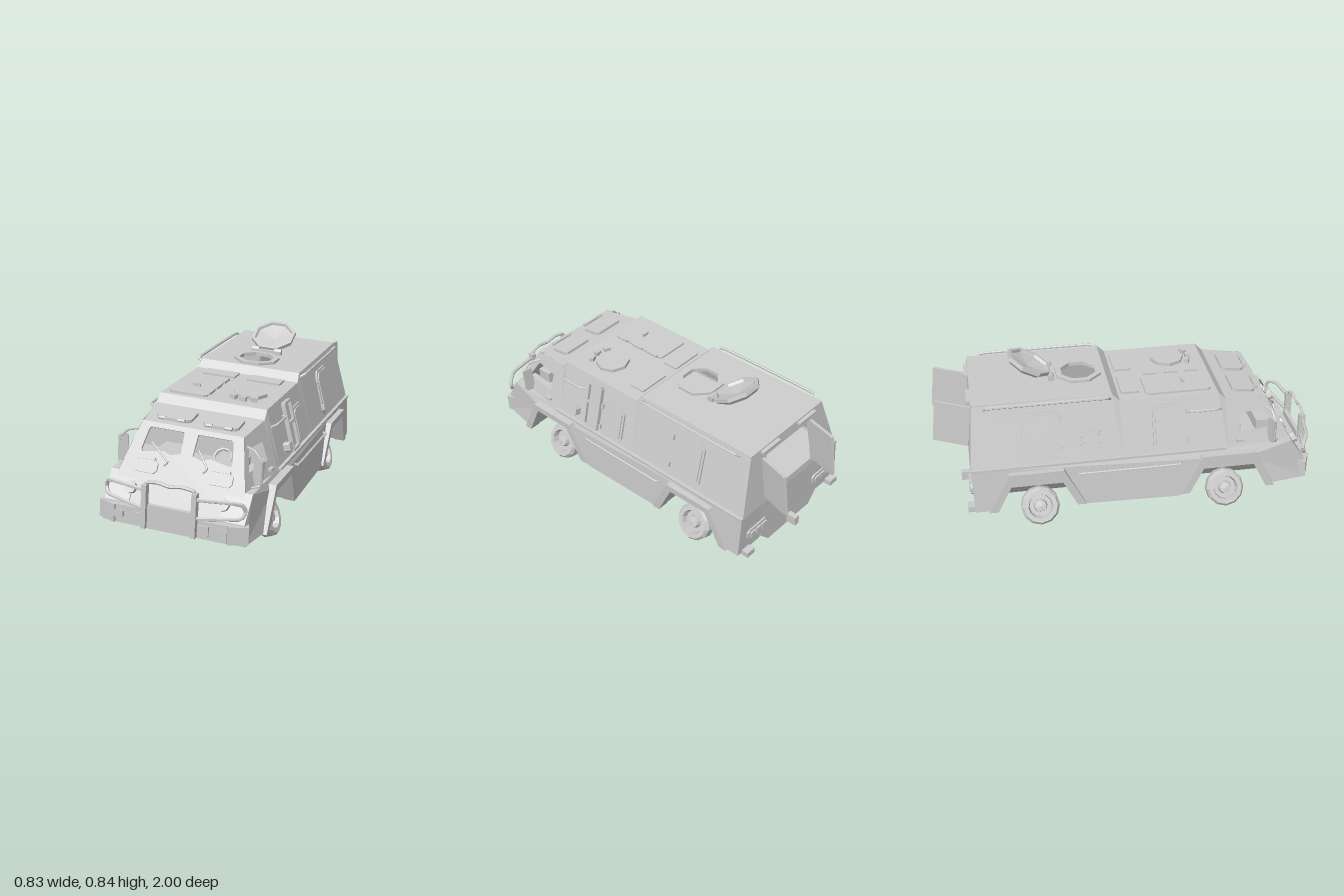
import * as THREE from 'three';

const mat = new THREE.MeshStandardMaterial({ color: 0xcccccc, flatShading: true, side: THREE.DoubleSide });
const BELT = 0.355;
const wallX = (y) => 0.372 - 0.296 * (y - BELT);
const poly = (pts) => new THREE.Shape(pts.map((p) => new THREE.Vector2(...p)));
const mirrorX = (pts) => [...pts, ...pts.map(([x, y]) => [-x, y]).reverse()];
const ngon = (n, r, x = 0, y = 0) => Array.from({ length: n }, (_, i) => {
  const a = ((i + 0.5) / n) * Math.PI * 2;
  return [x + r * Math.cos(a), y + r * Math.sin(a)];
});

export function createModel() {
  const root = new THREE.Group();
  root.name = 'armouredVan';
  const van = new THREE.Group();
  van.name = 'vehicle';
  root.add(van);

  function add(name, geo, pos = [0, 0, 0], rot = [0, 0, 0], parent = van) {
    const m = new THREE.Mesh(geo, mat);
    m.name = name;
    m.position.set(...pos);
    m.rotation.set(...rot, 'ZYX');
    parent.add(m);
    return m;
  }
  const box = (name, size, pos, rot, parent) => add(name, new THREE.BoxGeometry(...size), pos, rot, parent);
  const cyl = (name, r, h, n, pos, rot, parent) => add(name, new THREE.CylinderGeometry(r, r, h, n), pos, rot, parent);
  function slab(pts, depth, holes = []) {
    const s = poly(pts);
    s.holes = holes.map((h) => poly(h));
    return new THREE.ExtrudeGeometry(s, { depth, bevelEnabled: false });
  }
  // plate with cut corners, rising along its own +z
  function plate(name, w, h, t, pos, rot, parent, c = 0.015) {
    const a = w / 2, b = h / 2;
    return add(name, slab(mirrorX([[a - c, -b], [a, c - b], [a, b - c], [a - c, b]]), t), pos, rot, parent);
  }
  function tube(name, pts, r = 0.008, parent = van) {
    const curve = new THREE.CatmullRomCurve3(pts.map((p) => new THREE.Vector3(...p)), false, 'catmullrom', 0.15);
    return add(name, new THREE.TubeGeometry(curve, pts.length * 5, r, 6), [0, 0, 0], [0, 0, 0], parent);
  }
  // skin stretched over rows of points
  function loft(name, rows) {
    const p = [];
    for (let i = 0; i + 1 < rows.length; i++) for (let j = 0; j + 1 < rows[i].length; j++) {
      const a = rows[i][j], b = rows[i][j + 1], c = rows[i + 1][j], d = rows[i + 1][j + 1];
      p.push(...a, ...b, ...c, ...b, ...d, ...c);
    }
    const g = new THREE.BufferGeometry();
    g.setAttribute('position', new THREE.Float32BufferAttribute(p, 3));
    g.computeVertexNormals();
    return add(name, g);
  }

  // Upper shell: z, roof height, roof half width, z at the belt line
  const sections = [[0.72, 0.575, 0.256, 0.72], [0.5, 0.6, 0.285, 0.5], [0.46, 0.64, 0.282, 0.46], [-0.05, 0.64, 0.282, -0.05], [-0.09, 0.68, 0.275, -0.09], [-0.8, 0.675, 0.275, -0.83]];
  loft('frontRoof', sections.slice(0, 5).map(([z, y, w]) => [[w, y, z], [-w, y, z]]));
  add('rearRoof', slab(mirrorX([[0.275, 0.09], [0.275, 0.8]]), 0.006, [ngon(8, 0.095, -0.01, 0.23)]), [0, 0.673, 0], [-Math.PI / 2, 0, 0]);
  add('rearPanel', slab(mirrorX([[0.37, 0], [0.275, 0.322]]), 0.015, [mirrorX([[0.185, 0.035], [0.165, 0.27]])]), [0, BELT, -0.83], [0.093, 0, 0]);
  add('bellyHull', slab(mirrorX([[0.165, 0.07], [0.24, 0.15], [0.24, BELT]]), 1.605), [0, 0, -0.825]);
  const across = (pts, z) => mirrorX(pts).map(([x, y]) => [x, y, z]);
  loft('nosePan', [across([[0.34, 0.2], [0.22, 0.14]], 0.93), across([[0.34, 0.15], [0.165, 0.07]], 0.78)]);
  add('bulkhead', slab(mirrorX([[0.37, BELT], [0.283, 0.625]]), 0.01), [0, 0, 0.46]);

  for (const s of [-1, 1]) {
    loft('sideWall', sections.slice(1).map(([z, y, w, zb]) => (s > 0 ? [[0.37, BELT, zb], [w, y, z]] : [[-w, y, z], [-0.37, BELT, zb]])));

    // Cab side with window, narrowing to the nose
    const outline = poly([[0.5, BELT], [0.843, BELT], [0.72, 0.575], [0.5, 0.6]]);
    outline.holes = [poly([[0.57, 0.425], [0.57, 0.515], [0.705, 0.52], [0.765, 0.425]])];
    const cab = new THREE.ShapeGeometry(outline);
    const q = cab.attributes.position;
    for (let i = 0; i < q.count; i++) {
      const z = q.getX(i), y = q.getY(i);
      q.setXYZ(i, s * (0.37 - (z - 0.5) * 0.14 - 0.36 * (y - BELT)), y, z);
    }
    cab.computeVertexNormals();
    add('cabSide', cab);

    // Lower body side with wheel arches, drawn along -z, then turned and flared
    const arch = (c) => [[c + 0.205, 0.125], [c + 0.115, 0.3], [c - 0.115, 0.3], [c - 0.205, 0.125]];
    const lower = slab([[0.93, 0.125], ...arch(0.5), [0.24, 0.105], [-0.24, 0.115], ...arch(-0.5), [-0.82, 0.125], [-0.83, BELT], [0.843, BELT], [0.925, 0.23]]
      .map(([z, y]) => [-z, y]), 0.155);
    lower.rotateY(Math.PI / 2).translate(s > 0 ? 0.23 : -0.385, 0, 0);
    const lp = lower.attributes.position;
    for (let i = 0; i < lp.count; i++) {
      if (Math.abs(lp.getX(i)) > 0.3) lp.setX(i, s * (0.378 + (BELT - lp.getY(i)) * 0.09 - Math.max(0, lp.getZ(i) - 0.75) * 0.2));
    }
    lower.computeVertexNormals();
    add('lowerSide', lower);
    for (const c of [0.5, -0.5]) {
      const flare = slab([[0.25, 0.12], [0.14, 0.335], [-0.14, 0.335], [-0.25, 0.12], [-0.205, 0.12], [-0.115, 0.3], [0.115, 0.3], [0.205, 0.12]], 0.06);
      flare.rotateY(Math.PI / 2).translate(s > 0 ? 0.35 : -0.41, 0, c);
      add('archFlare', flare);
    }
    box('beltTrim', [0.02, 0.012, 1.32], [s * 0.374, BELT + 0.003, -0.17]);
    tube('sidePipe', [[0.375, 0.3, 0.25], [0.4, 0.3, 0.24], [0.4, 0.3, -0.28], [0.375, 0.3, -0.29]].map(([x, y, z]) => [s * x, y, z]), 0.007);

    // Fittings lying on the sloped side wall
    const onSide = (name, z, y, w, h, t = 0.014) => plate(name, w, h, t, [s * (wallX(y) - 0.002), y, z], [0, s * Math.PI / 2, s * 0.288], van, Math.min(w, h) * 0.14);
    const hatch = (z, y, w, h) => {
      onSide('sideHatch', z, y, w, h, 0.01);
      onSide('sideHatchPanel', z, y, w - 0.025, h - 0.025, 0.016);
      for (const k of [-1, 1]) onSide('hatchHinge', z + w / 2, y + k * h * 0.3, 0.012, 0.03, 0.022);
    };
    hatch(s > 0 ? -0.44 : -0.46, 0.5, 0.2, 0.25);
    if (s > 0) {
      hatch(0.075, 0.468, 0.15, 0.19);
      for (const z of [0.175, 0.265]) onSide('frameUpright', z, 0.495, 0.012, 0.24, 0.022);
      for (const y of [0.38, 0.51, 0.612]) onSide('frameBar', 0.22, y, 0.09, 0.014, 0.022);
      onSide('framePane', 0.22, 0.495, 0.08, 0.23, 0.006);
      onSide('sideLamp', 0.34, 0.42, 0.045, 0.045, 0.035);
    } else {
      hatch(0.2, 0.49, 0.18, 0.24);
      hatch(-0.21, 0.46, 0.1, 0.1);
    }
    // Rails and door handle
    const rail = (name, z0, z1, x, y, out, rise, r) =>
      tube(name, [[x, y, z0], [x + out, y + rise, z0 - 0.03], [x + out, y + rise, z1 + 0.03], [x, y, z1]].map((p) => [s * p[0], p[1], p[2]]), r);
    rail('roofRail', -0.1, -0.74, 0.278, 0.655, 0.027, 0.02, 0.008);
    rail('grabRail', 0.47, 0.29, wallX(0.56), 0.56, 0.025, 0.01, 0.007);
    box('doorHandle', [0.02, 0.012, 0.04], [s * 0.355, 0.385, 0.57]);

    // Wing mirror on a tube frame
    tube('mirrorArm', [[0.275, 0.53, 0.71], [0.325, 0.525, 0.74], [0.362, 0.48, 0.75], [0.365, 0.365, 0.75], [0.32, 0.355, 0.78]].map(([x, y, z]) => [s * x, y, z]), 0.007);
    plate('mirror', 0.05, 0.145, 0.02, [s * 0.35, 0.425, 0.73], [0, -s * 0.35, -s * 0.05], van, 0.01);

    // Wheels lean in at the top
    const wy = s > 0 ? 0.1 : 0.085;
    for (const z of [0.5, -0.485]) {
      const profile = [[0, -0.04], [0.078, -0.04], [0.101, -0.022], [0.101, 0.022], [0.088, 0.04], [0.065, 0.04], [0.058, 0.01], [0.036, 0.01], [0.03, 0.034], [0, 0.038]];
      add('wheel', new THREE.LatheGeometry(profile.map((p) => new THREE.Vector2(...p)), 12), [s * 0.328, wy, z], [0, 0, s * (-Math.PI / 2 + 0.38)]);
      cyl('hub', 0.035, 0.05, 6, [s * 0.275, wy, z], [0, 0, Math.PI / 2]);
      box('knuckle', [0.035, 0.075, 0.06], [s * 0.258, wy - 0.005, z]);
    }

    // Bull bar side loop, post, and bumper corner
    tube('bullBarLoop', [[0.12, 0.335, 0.98], [0.29, 0.34, 0.95], [0.34, 0.325, 0.92], [0.352, 0.29, 0.91], [0.33, 0.258, 0.93], [0.12, 0.24, 0.98]].map(([x, y, z]) => [s * x, y, z]), 0.01);
    box('bullBarPost', [0.024, 0.22, 0.035], [s * 0.125, 0.255, 0.975]);
    box('bumperCorner', [0.1, 0.09, 0.09], [s * 0.315, 0.18, 0.905], [0, s * 0.4, 0]);
    cyl('bumperLamp', 0.027, 0.03, 6, [s * 0.262, 0.185, 0.955], [Math.PI / 2, 0, 0]);
    box('bumperSlot', [0.055, 0.05, 0.02], [s * 0.165, 0.18, 0.955]);

    // Open rear door, tail lamps and step
    const door = new THREE.Group();
    door.name = 'rearDoor';
    door.position.set(s * 0.185, 0.508, -0.815);
    door.rotation.set(0, Math.PI / 2 - 0.32, 0.12, 'YXZ');
    plate('doorLeaf', 0.19, 0.23, 0.016, [0.095, 0, 0], [0, 0, 0], door, 0.004);
    van.add(door);
    plate('tailLampPanel', 0.15, 0.06, 0.012, [s * 0.26, 0.22, -0.822], [0, Math.PI, 0]);
    for (const k of [-1, 0, 1]) box('tailLamp', [0.035, 0.032, 0.02], [s * 0.26 + k * 0.043, 0.22, -0.833]);
    box('rearStep', [0.055, 0.03, 0.045], [s * 0.34, 0.125, -0.835]);
    box('rearRoofLamp', [0.13, 0.012, 0.02], [s * 0.14, 0.665, -0.81]);

    // Seats and cab roof hatches
    box('seat', [0.15, 0.04, 0.11], [s * 0.15, 0.38, 0.55]);
    plate('cabHatch', 0.18, 0.12, 0.015, [s * 0.12, 0.588, 0.615], [-Math.PI / 2 + 0.113, 0, 0]);
    box('cabHatchHinge', [0.13, 0.014, 0.014], [s * 0.12, 0.594, 0.69]);
    for (const k of [-1, 1]) cyl('hinge', 0.01, 0.035, 6, [s * 0.12 + k * 0.05, 0.596, 0.69], [0, 0, Math.PI / 2]);
    plate('roofPane', 0.18, 0.09, 0.012, [s * 0.125, 0.638, 0.012], [-Math.PI / 2, 0, 0], van, 0.004);
  }

  // Sloped front with windscreen openings, vents and headlights
  const front = new THREE.Group();
  front.name = 'frontFace';
  front.position.set(0, 0.2, 0.925);
  front.rotation.x = -0.51;
  van.add(front);
  const pane = (s) => [[0.03, 0.3], [0.08, 0.285], [0.12, 0.3], [0.225, 0.28], [0.232, 0.295], [0.215, 0.395], [0.205, 0.405], [0.035, 0.405]].map(([x, y]) => [s * x, y]);
  add('windscreenPanel', slab(mirrorX([[0.33, 0], [0.32, 0.177], [0.258, 0.43]]), 0.012, [pane(1), pane(-1)]), [0, 0, -0.006], [0, 0, 0], front);
  for (const s of [-1, 1]) {
    plate('frontVent', 0.125, 0.065, 0.016, [s * 0.19, 0.215, 0], [0, 0, 0], front);
    box('ventHinge', [0.09, 0.012, 0.02], [s * 0.19, 0.252, 0.012], [0, 0, 0], front);
    tube('wiper', [[s * 0.1, 0.23, 0.01], [s * 0.1 + 0.02, 0.25, 0.02], [s * 0.12 - 0.06, 0.33, 0.02]], 0.005, front);
    cyl('headlight', 0.03, 0.035, 8, [s * 0.235, 0.1, 0.015], [Math.PI / 2, 0, 0], front);
  }
  box('dashboard', [0.5, 0.06, 0.08], [0, 0.4, 0.72]);
  add('steeringWheel', new THREE.TorusGeometry(0.045, 0.007, 5, 10), [0.14, 0.44, 0.665], [-0.8, 0, 0]);

  // Bumper and bull bar centre
  box('bumper', [0.56, 0.09, 0.07], [0, 0.18, 0.92]);
  box('bumperPlate', [0.25, 0.12, 0.02], [0, 0.2, 0.96]);
  tube('bullBarTop', [[-0.125, 0.34, 0.975], [-0.115, 0.375, 0.975], [-0.06, 0.385, 0.98], [0, 0.375, 0.98], [0.06, 0.385, 0.98], [0.115, 0.375, 0.975], [0.125, 0.34, 0.975]], 0.009);

  // Axles with differentials
  for (const z of [0.5, -0.485]) {
    cyl('axle', 0.02, 0.54, 8, [0, 0.09, z], [0, 0, Math.PI / 2 + 0.025]);
    add('differential', new THREE.SphereGeometry(0.05, 8, 4), [0, 0.055, z]).scale.set(2.1, 0.9, 1);
  }
  box('towHook', [0.03, 0.05, 0.06], [0, 0.105, -0.85]);

  // Roof hatches and fittings
  const up = [-Math.PI / 2, 0, 0];
  plate('roofHatch', 0.2, 0.34, 0.014, [-0.15, 0.636, 0.26], up);
  for (const z of [0.15, 0.26, 0.37]) box('roofHatchBar', [0.012, 0.012, 0.07], [-0.045, 0.652, z]);
  box('roofHatchHandle', [0.04, 0.02, 0.012], [-0.15, 0.656, 0.3]);
  cyl('roundRoofHatch', 0.09, 0.02, 8, [0.13, 0.648, 0.27]);
  for (const k of [-1, 0, 1]) box('periscope', [0.035, 0.025, 0.025], [0.13 + k * 0.055, 0.65, 0.385 - Math.abs(k) * 0.015], [0, k * 0.4, 0]);
  add('hatchRing', slab(ngon(8, 0.125), 0.018, [ngon(8, 0.095)]), [-0.01, 0.675, -0.23], up);
  box('coverHinge', [0.17, 0.02, 0.03], [0, 0.69, -0.375]);
  for (const s of [-1, 1]) cyl('coverHingePin', 0.014, 0.04, 6, [s * 0.065, 0.7, -0.375], [0, 0, Math.PI / 2]);
  const dish = [[0, -0.025], [0.1, -0.02], [0.125, 0], [0.125, 0.02], [0.108, 0.02], [0.102, 0.006], [0, -0.012]];
  add('openHatchCover', new THREE.LatheGeometry(dish.map((p) => new THREE.Vector2(...p)), 8).rotateY(Math.PI / 8), [0.002, 0.747, -0.485], [0.47, 0, 0]);

  // The vehicle leans to its left; set it on the ground and centre it
  van.rotation.z = -0.06;
  root.updateMatrixWorld(true);
  const b = new THREE.Box3().setFromObject(root, true);
  van.position.set(-(b.min.x + b.max.x) / 2, -b.min.y, -(b.min.z + b.max.z) / 2);
  return root;
}
